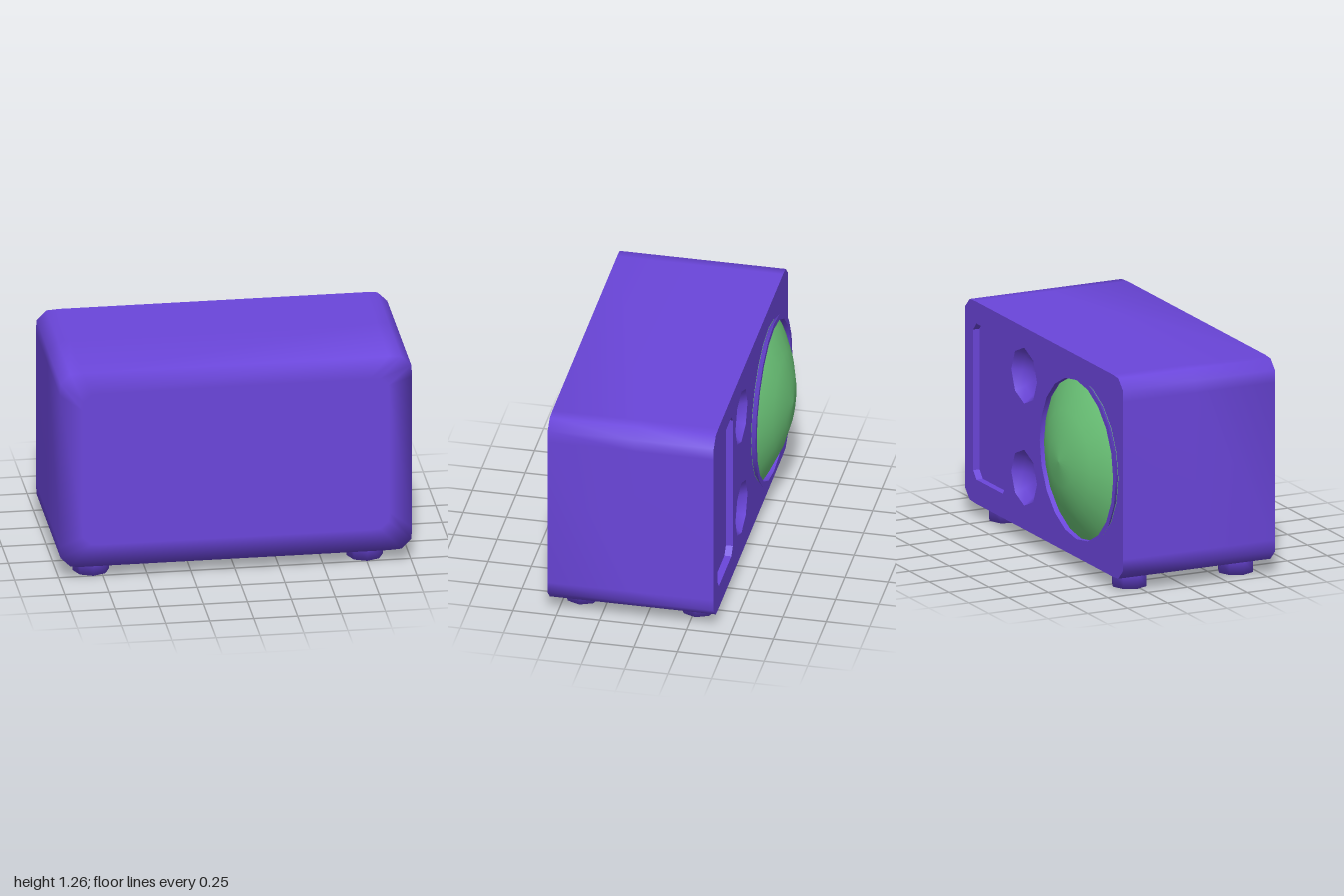
import * as THREE from 'three';
import { toCreasedNormals } from 'three/addons/utils/BufferGeometryUtils.js';

const BACK = -0.405, FRONT = 0.55, MID_Y = 0.668;

// Closed outline, counter-clockwise from +z, with the same corner cut mirrored four times
function outline(cx, cy, hw, hh, corner) {
  const pts = [];
  [[1, -1], [1, 1], [-1, 1], [-1, -1]].forEach(([sx, sy]) => {
    const c = corner.map(([dx, dy]) => new THREE.Vector2(cx + sx * (hw - dx), cy + sy * (hh - dy)));
    if (sx * sy < 0) c.reverse();
    pts.push(...c);
  });
  return pts;
}

// Skin over rings of equal point count; each ring is { pts, z }
function loft(rings, cap) {
  const pos = [], idx = [], n = rings[0].pts.length;
  rings.forEach(({ pts, z }) => pts.forEach((p) => pos.push(p.x, p.y, z)));
  for (let i = 0; i < rings.length - 1; i++) {
    for (let j = 0; j < n; j++) {
      const k = (j + 1) % n, a = i * n + j, b = i * n + k;
      idx.push(a, b, b + n, a, b + n, a + n);
    }
  }
  if (cap) {
    const last = (rings.length - 1) * n, z = rings[rings.length - 1].z;
    pos.push(0, MID_Y, z);
    for (let j = 0; j < n; j++) idx.push(last + j, last + (j + 1) % n, rings.length * n);
  }
  const g = new THREE.BufferGeometry();
  g.setAttribute('position', new THREE.Float32BufferAttribute(pos, 3));
  g.setIndex(idx);
  g.computeVertexNormals();
  return g;
}

// Flat plate facing -z
function backPlate(pts, holes, z) {
  const flip = (list) => list.map((p) => new THREE.Vector2(-p.x, p.y));
  const shape = new THREE.Shape(flip(pts));
  holes.forEach((h) => shape.holes.push(new THREE.Path(flip(h))));
  return new THREE.ShapeGeometry(shape).rotateY(Math.PI).translate(0, 0, z);
}

// Turned part whose axis points to -z
function turned(profile, sides, x, y) {
  const pts = profile.map(([r, h]) => new THREE.Vector2(r, h));
  return new THREE.LatheGeometry(pts, sides).rotateX(-Math.PI / 2).translate(x, y, 0);
}

export function createModel() {
  const group = new THREE.Group();
  const purple = new THREE.MeshStandardMaterial({ color: 0x6b46db });
  purple.name = 'purple casing';
  const green = new THREE.MeshStandardMaterial({ color: 0x6fcb7c });
  green.name = 'green screen';
  const add = (name, geometry, material) => {
    const mesh = new THREE.Mesh(geometry, material);
    mesh.name = name;
    group.add(mesh);
  };

  // Casing: softly shaded shell, closed at +z
  const body = outline(0, MID_Y, 1, 0.589, [[0, 0.13], [0.004, 0.06], [0.06, 0.005], [0.13, 0]]);
  const inset = body.map((p) => new THREE.Vector2(p.x * 0.87, MID_Y + (p.y - MID_Y) * 0.78));
  add('casing', loft([
    { pts: body, z: BACK }, { pts: body, z: 0.05 }, { pts: body, z: FRONT }, { pts: inset, z: FRONT },
  ], true), purple);

  // Screen-side face with openings for the speaker panel and two dials
  const panel = outline(0.688, 0.675, 0.207, 0.455, [[0, 0.045], [0.04, 0]]);
  const dialX = 0.25, dialR = 0.163, dialYs = [0.975, 0.38];
  const octagon = (y) => Array.from({ length: 8 }, (_, i) => new THREE.Vector2(
    dialX + dialR * Math.cos(i * Math.PI / 4), y + dialR * Math.sin(i * Math.PI / 4)));
  add('screenFace', backPlate(body, [panel, ...dialYs.map(octagon)], BACK), purple);

  // Sunken speaker panel
  const floorZ = BACK + 0.04;
  add('speakerPanelWall', toCreasedNormals(loft([{ pts: panel, z: floorZ }, { pts: panel, z: BACK }]), 0.3), purple);
  add('speakerPanelFloor', backPlate(panel, [], floorZ), purple);

  // Hollow dials
  const bowl = [[dialR, 0.405], [0.125, 0.355], [0.07, 0.322], [0, 0.31]];
  dialYs.forEach((y, i) => add(i ? 'lowerDial' : 'upperDial', turned(bowl, 8, dialX, y), purple));

  // Flared screen rim and domed screen
  const sx = -0.475;
  const rim = [[0.462, 0.405], [0.497, 0.437], [0.464, 0.437], [0.464, 0.405]];
  add('screenRim', toCreasedNormals(turned(rim, 20, sx, MID_Y), 0.6), purple);
  const dome = [[0.466, 0.405], [0.41, 0.437], [0.29, 0.493], [0.147, 0.535], [0, 0.55]];
  add('screen', turned(dome, 20, sx, MID_Y), green);

  // Four stubby feet
  const footProfile = [[0, 0], [0.103, 0], [0.103, 0.085]].map(([r, h]) => new THREE.Vector2(r, h));
  for (const x of [-0.803, 0.753]) {
    for (const z of [0.398, -0.268]) {
      add('foot', new THREE.LatheGeometry(footProfile, 8).translate(x, 0, z), purple);
    }
  }
  return group;
}
